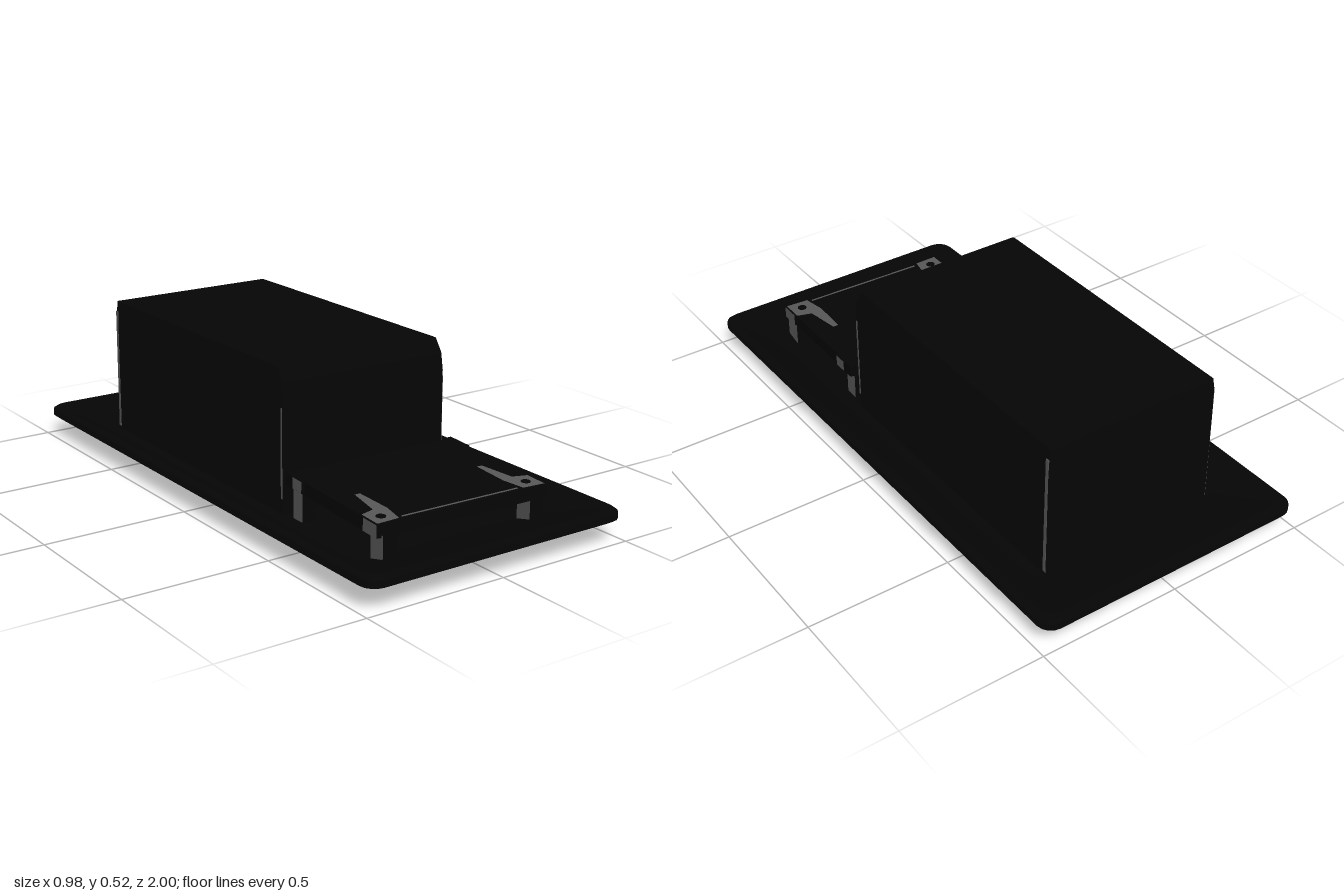
import * as THREE from 'three';

const black = new THREE.MeshStandardMaterial({ color: 0x050505 });
black.name = 'black';
const grey = new THREE.MeshStandardMaterial({ color: 0x585858 });
grey.name = 'grey';
// Box faces: grey on the two x sides, black elsewhere
const greySides = [grey, grey, black, black, black, black];

// Rounded rectangle at height y: half width hx, from z0 to z1, n segments per corner
function ring(y, hx, z0, z1, r, n) {
  const pts = [];
  const corners = [[hx - r, z1 - r], [-hx + r, z1 - r], [-hx + r, z0 + r], [hx - r, z0 + r]];
  corners.forEach(([cx, cz], k) => {
    for (let i = 0; i <= n; i++) {
      const a = (k + i / n) * Math.PI / 2;
      pts.push([cx + r * Math.cos(a), y, cz + r * Math.sin(a)]);
    }
  });
  return pts;
}

// Closed, faceted solid through a stack of rings
function loft(rings) {
  const pos = [];
  const tri = (...p) => p.forEach(v => pos.push(...v));
  const count = rings[0].length;
  for (let j = 0; j < rings.length - 1; j++) {
    for (let i = 0; i < count; i++) {
      const k = (i + 1) % count;
      const a = rings[j][i], b = rings[j][k], c = rings[j + 1][k], d = rings[j + 1][i];
      tri(a, d, b);
      tri(b, d, c);
    }
  }
  const low = rings[0], top = rings[rings.length - 1];
  for (let i = 1; i < count - 1; i++) {
    tri(low[0], low[i], low[i + 1]);
    tri(top[0], top[i + 1], top[i]);
  }
  const g = new THREE.BufferGeometry();
  g.setAttribute('position', new THREE.Float32BufferAttribute(pos, 3));
  g.computeVertexNormals();
  return g;
}

function add(parent, name, geometry, material, x = 0, y = 0, z = 0) {
  const m = new THREE.Mesh(geometry, material);
  m.name = name;
  m.position.set(x, y, z);
  parent.add(m);
  return m;
}

const box = (w, h, d) => new THREE.BoxGeometry(w, h, d);

export function createModel() {
  const model = new THREE.Group();
  model.name = 'boxOnTray';

  // Dished tray: flared underside, rounded rim, sloping inside and sunken floor
  add(model, 'tray', loft([
    ring(0, 0.36, -0.74, 0.72, 0.04, 4),
    ring(0.006, 0.375, -0.76, 0.74, 0.04, 4),
    ring(0.035, 0.41, -0.85, 0.84, 0.045, 4),
    ring(0.066, 0.475, -0.98, 0.98, 0.05, 4),
    ring(0.078, 0.49, -1, 1, 0.05, 4),
    ring(0.1, 0.49, -1, 1, 0.05, 4),
    ring(0.108, 0.482, -0.99, 0.99, 0.05, 4),
    ring(0.106, 0.462, -0.965, 0.965, 0.045, 4),
    ring(0.075, 0.4, -0.855, 0.85, 0.04, 4),
    ring(0.05, 0.36, -0.765, 0.75, 0.04, 4),
  ]), black);

  // Tall housing with a sloped front top edge
  add(model, 'housing', loft([
    ring(0.045, 0.32, -0.77, 0.312, 0.004, 1),
    ring(0.42, 0.319, -0.77, 0.312, 0.004, 1),
    ring(0.48, 0.317, -0.77, 0.304, 0.004, 1),
    ring(0.525, 0.312, -0.768, 0.28, 0.004, 1),
  ]), black);

  // Worn vertical edges on the housing sides
  for (const s of [-1, 1]) {
    add(model, 'rearSideEdge', box(0.004, 0.43, 0.014), grey, s * 0.318, 0.275, -0.759)
      .rotation.z = s * 0.005;
    add(model, 'frontSideEdge', box(0.004, 0.3, 0.008), grey, s * 0.3183, 0.25, 0.304);
  }

  // Slightly tilted and turned low panel in front of the housing
  const panel = new THREE.Group();
  panel.name = 'frontPanel';
  panel.position.set(0, 0.163, 0.582);
  panel.rotation.set(0.03, -0.03, 0);
  model.add(panel);
  add(panel, 'panelSlab', loft([
    ring(-0.022, 0.318, -0.245, 0.24, 0.008, 1),
    ring(0.022, 0.318, -0.245, 0.24, 0.008, 1),
  ]), black);
  add(panel, 'panelFrontLine', box(0.44, 0.002, 0.006), grey, 0, 0.0225, 0.222);

  for (const s of [-1, 1]) {
    // Corner blocks, grey on their sides only
    add(panel, 'frontCornerBlock', box(0.03, 0.042, 0.07), greySides, s * 0.306, 0, 0.205);
    add(panel, 'rearCornerBlock', box(0.03, 0.04, 0.1), black, s * 0.31, 0.004, -0.2);
    add(panel, 'rearCornerPatch', box(0.004, 0.038, 0.05), greySides, s * 0.325, 0.004, -0.18);

    // Tapered grey patch with a dark screw on each front corner
    const patch = new THREE.Shape([
      [0.225, 0.015], [0.245, 0.015], [0.265, 0.14], [0.316, 0.155],
      [0.316, 0.236], [0.235, 0.232], [0.22, 0.15],
    ].map(([x, z]) => new THREE.Vector2(s * x, -z)));
    const g = new THREE.ExtrudeGeometry(patch, { depth: 0.003, bevelEnabled: false });
    g.rotateX(-Math.PI / 2);
    add(panel, 'cornerPatch', g, [grey, black], 0, 0.021, 0);
    add(panel, 'screw', new THREE.CylinderGeometry(0.016, 0.016, 0.004, 12), black, s * 0.275, 0.024, 0.195);

    // Feet between panel and tray floor
    add(model, 'frontFoot', box(0.05, 0.092, 0.06), greySides, s * 0.285, 0.096, 0.79);
    add(model, 'rearFoot', box(0.05, 0.105, 0.05), greySides, s * 0.285, 0.1, 0.38);
  }
  return model;
}
